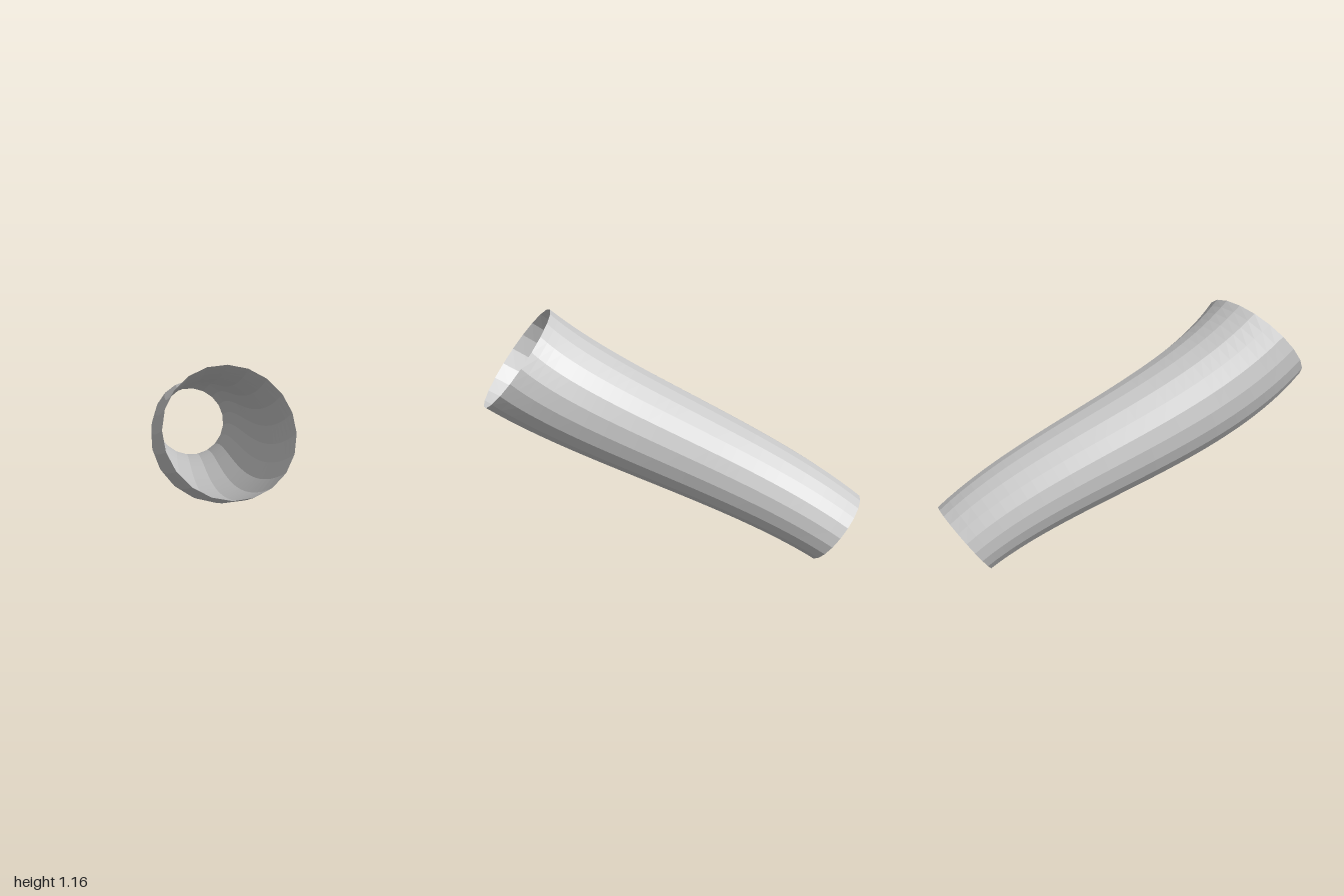
import * as THREE from 'three';

const SIDES = 20, STEPS = 32;
const FRONT_RADIUS = 0.303, BACK_RADIUS = 0.204;

// S-shaped centre line, from the wide front mouth down to the narrow back one
const path = new THREE.CubicBezierCurve3(
  new THREE.Vector3(0.005, 0.92, 0.815),
  new THREE.Vector3(-0.075, 0.572, 0.365),
  new THREE.Vector3(0.012, 0.479, -0.41),
  new THREE.Vector3(0.03, 0.172, -0.89)
);

// Open tapered tube: rings square to the path, joined by quads
function taperedTube() {
  const positions = [], indices = [];
  const up = new THREE.Vector3(0, 1, 0);
  for (let i = 0; i <= STEPS; i++) {
    const u = i / STEPS;
    const centre = path.getPointAt(u);
    const tangent = path.getTangentAt(u);
    const side = new THREE.Vector3().crossVectors(tangent, up).normalize();
    const top = new THREE.Vector3().crossVectors(side, tangent);
    const radius = THREE.MathUtils.lerp(FRONT_RADIUS, BACK_RADIUS, u);
    for (let j = 0; j < SIDES; j++) {
      const a = ((j + 0.5) / SIDES) * Math.PI * 2;
      const p = centre.clone()
        .addScaledVector(side, Math.sin(a) * radius)
        .addScaledVector(top, Math.cos(a) * radius);
      positions.push(p.x, p.y, p.z);
    }
  }
  for (let i = 0; i < STEPS; i++) {
    for (let j = 0; j < SIDES; j++) {
      const k = (j + 1) % SIDES;
      const a = i * SIDES + j, b = i * SIDES + k;
      const c = a + SIDES, d = b + SIDES;
      indices.push(a, b, c, b, d, c);
    }
  }
  const geometry = new THREE.BufferGeometry();
  geometry.setAttribute('position', new THREE.Float32BufferAttribute(positions, 3));
  geometry.setIndex(indices);
  geometry.computeVertexNormals();
  return geometry;
}

export function createModel() {
  const lightGrey = new THREE.MeshStandardMaterial({
    color: 0xcccccc, flatShading: true, side: THREE.DoubleSide,
  });
  lightGrey.name = 'light grey';

  const tube = new THREE.Mesh(taperedTube(), lightGrey);
  tube.name = 'curvedTube';

  const model = new THREE.Group();
  model.name = 'taperedPipe';
  model.add(tube);
  return model;
}
